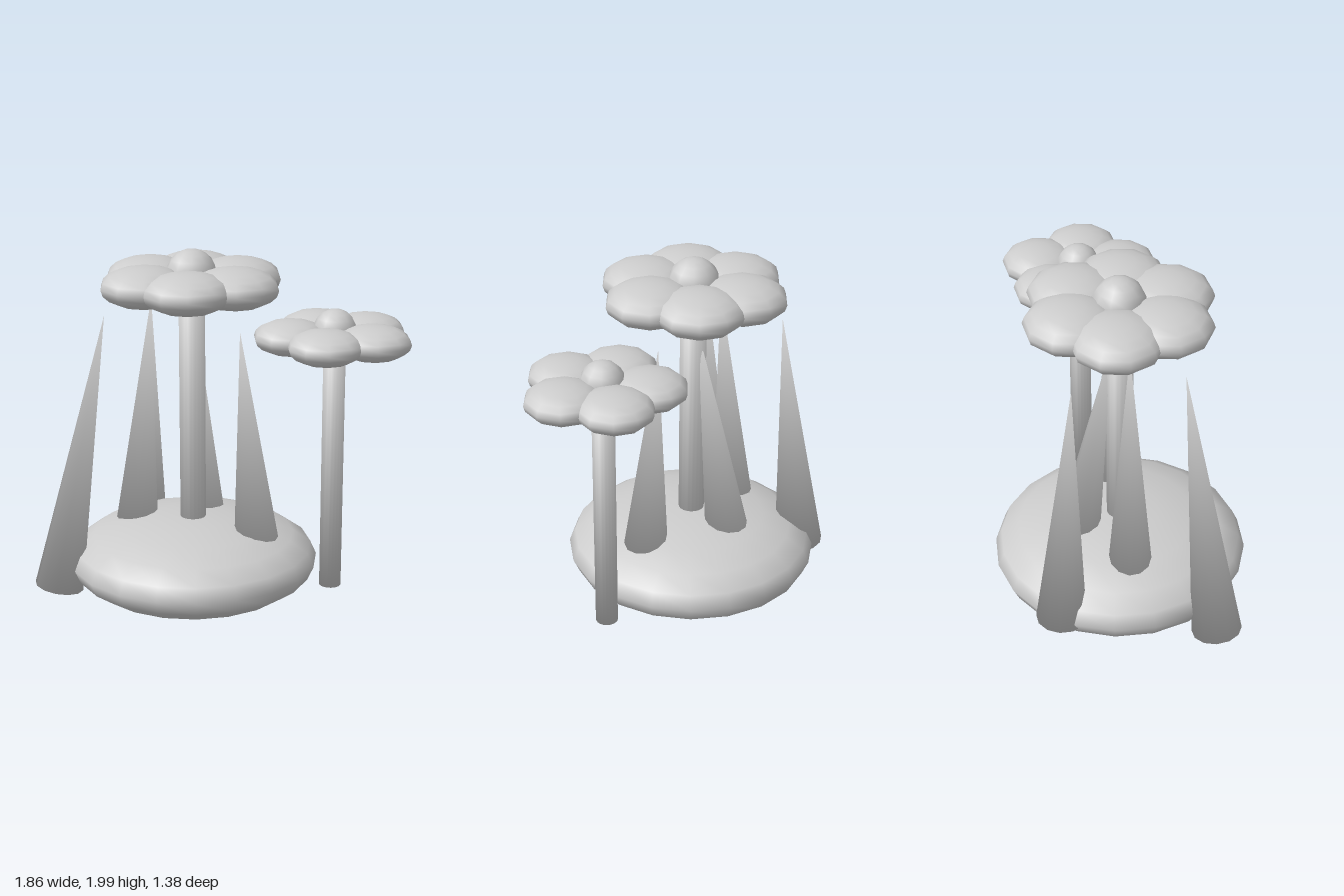
import * as THREE from 'three';

const clay = new THREE.MeshStandardMaterial({ color: 0xcccccc });
const UP = new THREE.Vector3(0, 1, 0);

// Round the shading over the rims and tips of a cylinder or cone
function softenRims(geometry) {
  const p = geometry.attributes.position;
  const n = geometry.attributes.normal;
  const v = new THREE.Vector3();
  for (let i = 0; i < p.count; i++) {
    v.set(p.getX(i), 0, p.getZ(i));
    if (v.length() > 1e-4) v.normalize();
    else v.set(0, 0, 0);
    v.y = Math.sign(p.getY(i));
    v.normalize();
    n.setXYZ(i, v.x, v.y, v.z);
  }
  return geometry;
}

function addMesh(parent, name, geometry, x, y, z) {
  const mesh = new THREE.Mesh(geometry, clay);
  mesh.name = name;
  mesh.position.set(x, y, z);
  parent.add(mesh);
  return mesh;
}

// Sphere with a vertex pointing along z
function ball(radius, flatten, segments) {
  return new THREE.SphereGeometry(radius, segments, 10)
    .rotateY(Math.PI / 2)
    .scale(1, flatten, 1);
}

// Flower: stem, ring of flattened petals, round centre
function makeFlower(name, petals, x, z, headY, stemBottom, size) {
  const flower = new THREE.Group();
  flower.name = name;
  flower.position.set(x, 0, z);

  const height = headY - stemBottom;
  const stem = softenRims(new THREE.CylinderGeometry(0.071 * size, 0.071 * size, height, 20));
  addMesh(flower, 'stem', stem, 0, stemBottom + height / 2, 0);

  const petal = ball(0.241 * size, 0.46, 10);
  for (let i = 0; i < petals; i++) {
    const a = (i / petals) * Math.PI * 2;
    const d = 0.275 * size;
    addMesh(flower, 'petal', petal, d * Math.cos(a), headY, d * Math.sin(a));
  }
  addMesh(flower, 'flowerCentre', ball(0.14 * size, 1, 10), 0, headY + 0.04 * size, 0);
  return flower;
}

// Leaning spike from the centre of its foot to its tip
function makeSpike(foot, tip, radius) {
  const a = new THREE.Vector3(...foot);
  const axis = new THREE.Vector3(...tip).sub(a);
  const geometry = softenRims(new THREE.ConeGeometry(radius, axis.length(), 12));
  const spike = new THREE.Mesh(geometry, clay);
  spike.name = 'grassBlade';
  spike.position.copy(a).addScaledVector(axis, 0.5);
  spike.quaternion.setFromUnitVectors(UP, axis.normalize());
  return spike;
}

export function createModel() {
  const model = new THREE.Group();
  model.name = 'flowerMound';

  // Flattened mound
  addMesh(model, 'mound', ball(0.692, 0.354, 20), -0.235, 0.25, 0);

  // Flowers
  model.add(makeFlower('tallFlower', 6, -0.235, 0, 1.82, 0.16, 1));
  model.add(makeFlower('shortFlower', 5, 0.507, -0.252, 1.57, 0.16, 0.84));

  // Grass blades: foot, tip, radius
  const blades = [
    [[-0.77, 0.13, 0.54], [-0.567, 1.66, 0.34], 0.135],
    [[-0.79, 0.21, -0.29], [-0.665, 1.62, -0.22], 0.135],
    [[0.145, 0.25, -0.083], [0.035, 1.57, -0.06], 0.138],
    [[-0.33, 0.25, -0.25], [-0.237, 1.6, -0.04], 0.138],
    [[-0.588, 0.25, 0.07], [-0.462, 1.71, 0.06], 0.132],
  ];
  for (const [foot, tip, radius] of blades) model.add(makeSpike(foot, tip, radius));

  return model;
}
